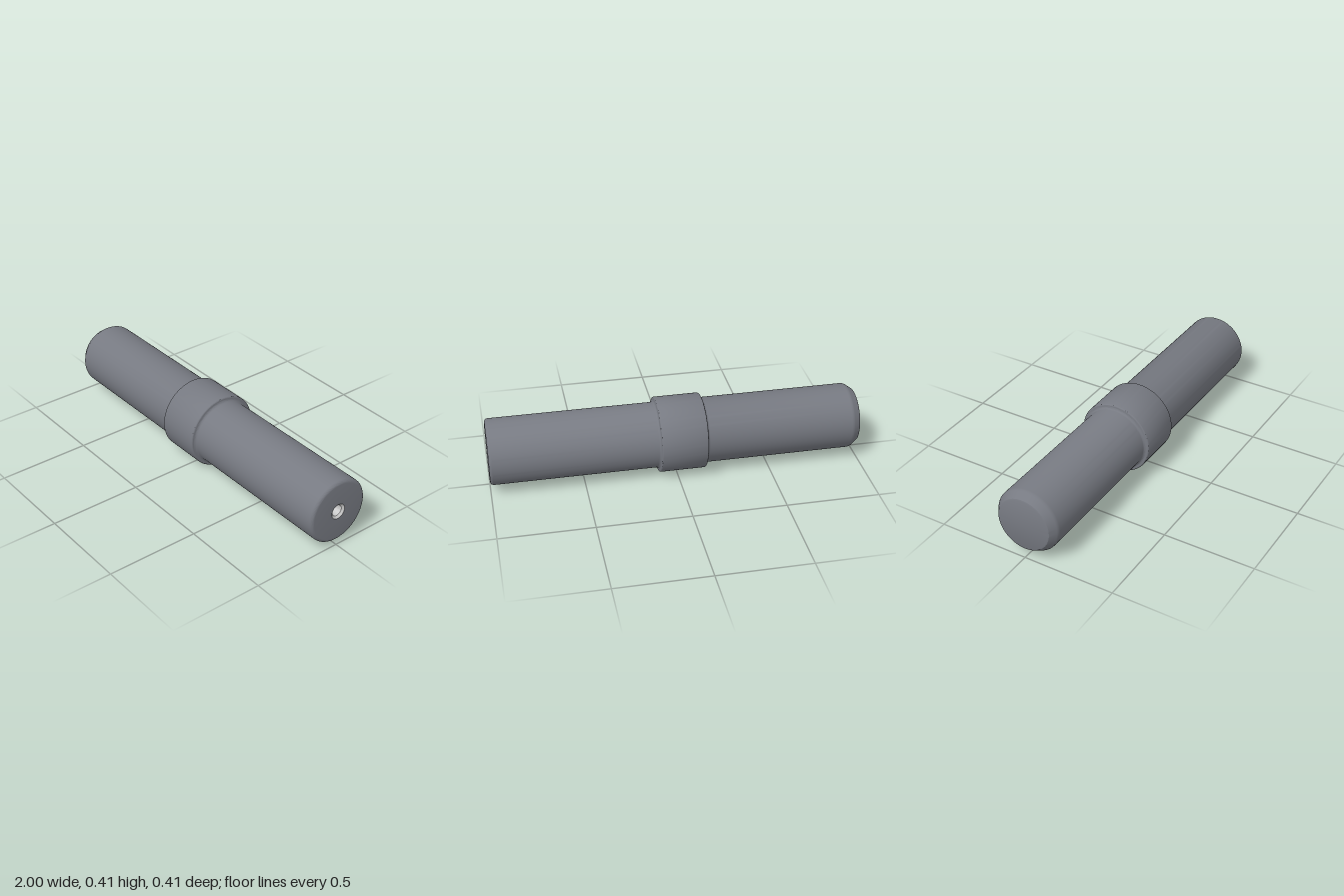
import * as THREE from 'three';
import { toCreasedNormals } from 'three/addons/utils/BufferGeometryUtils.js';

const AXIS_Y = 0.2025, SHAFT_R = 0.176, COLLAR_R = 0.2025;

// quarter arc in (radius, x), from angle a0 to a1
function arc(r, x, size, a0, a1, steps = 6) {
  return Array.from({ length: steps + 1 }, (_, i) => {
    const a = a0 + (a1 - a0) * i / steps;
    return [r + size * Math.cos(a), x + size * Math.sin(a)];
  });
}

// turned part around the long axis; profile is [radius, x], running towards +x
function turned(name, profile, material, segments) {
  const points = profile.map(([r, x]) => new THREE.Vector2(Math.max(r, 0), x));
  const geometry = toCreasedNormals(new THREE.LatheGeometry(points, segments), 0.5);
  geometry.rotateZ(-Math.PI / 2);
  const mesh = new THREE.Mesh(geometry, material);
  mesh.name = name;
  mesh.position.y = AXIS_Y;
  return mesh;
}

export function createModel() {
  const group = new THREE.Group();
  group.name = 'shaft';
  const dark = new THREE.MeshStandardMaterial({ color: 0x777a82 });
  const bright = new THREE.MeshStandardMaterial({ color: 0xcccccc });
  const H = Math.PI / 2, f = 0.016;

  // shaft with a chamfered left end, filleted collar and rounded right end
  group.add(turned('shaftBody', [
    [0, -1], [0.14, -1], [0.147, -0.997], [0.171, -0.963], [0.175, -0.955], [SHAFT_R, -0.945],
    ...arc(SHAFT_R + f, -0.15 - f, f, -2 * H, -3 * H).map(([r, x]) => [r, x]).reverse().length
      ? arc(SHAFT_R + f, -0.15 - f, f, 2 * H, H) : [],
    [COLLAR_R - 0.008, -0.15],
    ...arc(COLLAR_R - 0.008, -0.142, 0.008, -H, 0),
    ...arc(COLLAR_R - 0.008, 0.092, 0.008, 0, H),
    ...arc(SHAFT_R + f, 0.1 + f, f, -H, -2 * H),
    ...arc(SHAFT_R - 0.02, 0.98, 0.02, 0, H),
    [0.042, 1],
  ], dark, 96));

  // centre hole in the right end: countersink, bore, drill cone
  group.add(turned('centreHole', [
    [0.042, 1], [0.03, 0.99], [0.026, 0.975], [0.026, 0.93],
    [0.018, 0.918], [0.018, 0.87], [0, 0.86],
  ], bright, 48));
  return group;
}
